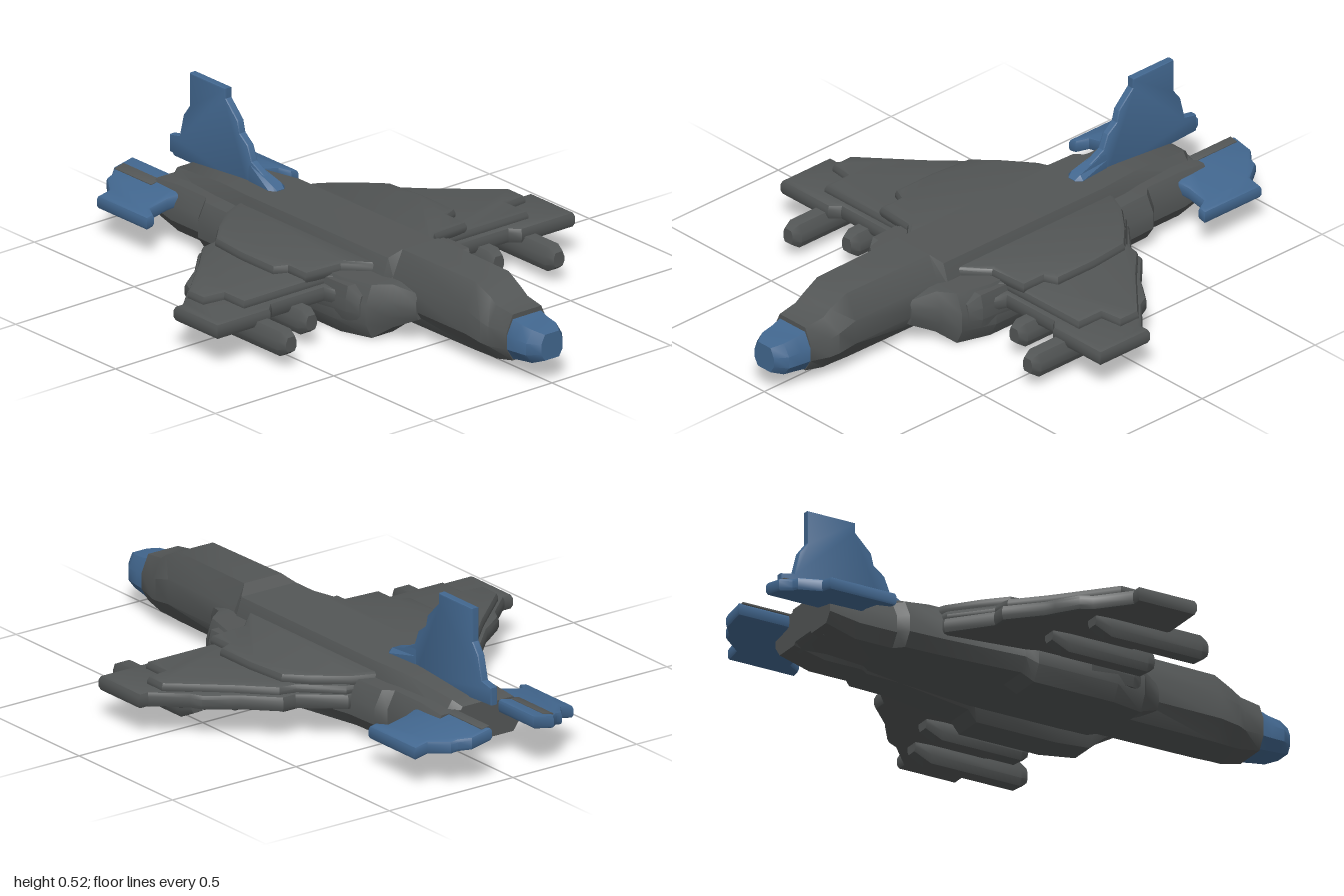
import * as THREE from 'three';
import { toCreasedNormals } from 'three/addons/utils/BufferGeometryUtils.js';

const grey = new THREE.MeshStandardMaterial({ color: 0x535656 });
grey.name = 'hull grey';
const blue = new THREE.MeshStandardMaterial({ color: 0x42678f });
blue.name = 'trim blue';

// Joins chamfered cross-sections running from front to back.
// Each section: [z, half width, half flat width, bottom y, top y, centre x]
function loft(sections) {
  const pos = [], idx = [];
  for (const [z, w, f, yb, yt, cx = 0] of sections) {
    const h = yt - yb, lo = yb + h * 0.28, hi = yb + h * 0.64;
    const ring = [[f, yb], [w, lo], [w, hi], [f, yt], [-f, yt], [-w, hi], [-w, lo], [-f, yb]];
    ring.forEach(([x, y]) => pos.push(cx + x, y, z));
  }
  const last = (sections.length - 1) * 8;
  for (let i = 0; i < last; i += 8) {
    for (let j = 0; j < 8; j++) {
      const a = i + j, b = i + (j + 1) % 8;
      idx.push(a, a + 8, b, b, a + 8, b + 8);
    }
  }
  for (let j = 1; j < 7; j++) idx.push(0, j, j + 1, last, last + j + 1, last + j);
  const g = new THREE.BufferGeometry();
  g.setAttribute('position', new THREE.Float32BufferAttribute(pos, 3));
  g.setIndex(idx);
  return toCreasedNormals(g, 0.55);
}

function prism(points, depth, bevel) {
  const shape = new THREE.Shape(points.map(([x, y]) => new THREE.Vector2(x, y)));
  const g = new THREE.ExtrudeGeometry(shape, {
    depth: depth - 2 * bevel, bevelEnabled: true, bevelSize: bevel,
    bevelThickness: bevel, bevelOffset: -bevel, bevelSegments: 2,
  });
  return g.translate(0, 0, bevel);
}

// Flat plate from an (x, z) outline between two heights, on one side
function slab(side, outline, y0, y1, bevel = 0.012) {
  const g = prism(outline.map(([x, z]) => [x * side, -z]), y1 - y0, bevel);
  return g.rotateX(-Math.PI / 2).translate(0, y0, 0);
}

export function createModel() {
  const model = new THREE.Group();
  const add = (name, geometry, material = grey) => {
    const mesh = new THREE.Mesh(toCreasedNormals(geometry, 0.55), material);
    mesh.name = name;
    model.add(mesh);
  };

  // Body
  add('nose', loft([
    [1.0, 0.045, 0.03, 0.085, 0.175], [0.96, 0.075, 0.05, 0.07, 0.185],
    [0.91, 0.08, 0.055, 0.065, 0.19], [0.87, 0.085, 0.06, 0.06, 0.2],
  ]), blue);
  add('fuselage', loft([
    [0.875, 0.086, 0.06, 0.055, 0.215], [0.8, 0.1, 0.065, 0.04, 0.225],
    [0.77, 0.11, 0.065, 0.04, 0.245], [0.7, 0.112, 0.07, 0.04, 0.278],
    [0.34, 0.115, 0.075, 0.04, 0.28], [0.31, 0.135, 0.11, 0.04, 0.25],
    [-0.4, 0.135, 0.11, 0.04, 0.248], [-0.55, 0.13, 0.09, 0.05, 0.24],
    [-0.78, 0.12, 0.08, 0.06, 0.22], [-0.81, 0.09, 0.06, 0.08, 0.2],
  ]));

  // Tail fin
  const finOutline = [
    [0.37, 0.24], [0.4, 0.265], [0.49, 0.31], [0.51, 0.36], [0.55, 0.39], [0.56, 0.43],
    [0.62, 0.49], [0.62, 0.525], [0.8, 0.525], [0.8, 0.41], [0.83, 0.37],
    [0.85, 0.29], [0.9, 0.28], [0.9, 0.22], [0.5, 0.2],
  ];
  add('tailFin', prism(finOutline, 0.03, 0.006).rotateY(Math.PI / 2).translate(-0.015, 0, 0), blue);
  add('finRoot', loft([
    [-0.36, 0.02, 0.015, 0.22, 0.25], [-0.38, 0.034, 0.02, 0.22, 0.265], [-0.5, 0.018, 0.014, 0.22, 0.3],
  ]), blue);

  for (const s of [1, -1]) {
    const side = s > 0 ? 'left' : 'right';

    // Engine intakes and ducts
    add(side + 'Intake', loft([
      [0.46, 0.03, 0.02, 0.08, 0.17, s * 0.09], [0.38, 0.055, 0.03, 0.04, 0.19, s * 0.12],
      [0.34, 0.07, 0.045, 0.005, 0.19, s * 0.16], [0.22, 0.085, 0.055, 0, 0.19, s * 0.18],
      [-0.08, 0.085, 0.055, 0, 0.19, s * 0.18], [-0.12, 0.085, 0.055, 0.03, 0.19, s * 0.165],
      [-0.4, 0.085, 0.055, 0.04, 0.2, s * 0.125], [-0.53, 0.085, 0.055, 0.04, 0.2, s * 0.12],
      [-0.56, 0.08, 0.05, 0.04, 0.2, s * 0.095], [-0.7, 0.08, 0.05, 0.04, 0.2, s * 0.095],
      [-0.81, 0.07, 0.045, 0.07, 0.19, s * 0.1],
    ]));
    add(side + 'IntakeShoulder', loft([
      [0.32, 0.02, 0.012, 0.07, 0.15, s * 0.22], [0.28, 0.035, 0.025, 0.06, 0.18, s * 0.23],
      [0.12, 0.04, 0.03, 0.06, 0.18, s * 0.23],
    ]));

    // Stepped wing
    add(side + 'Wing', slab(s, [
      [0.1, 0.4], [0.14, 0.37], [0.2, 0.3], [0.26, 0.25], [0.28, 0.19], [0.5, 0.19], [0.53, 0.22],
      [0.755, 0.22], [0.755, 0], [0.72, 0], [0.62, -0.09], [0.6, -0.13], [0.53, -0.18],
      [0.5, -0.2], [0.4, -0.3], [0.35, -0.3], [0.22, -0.41], [0.1, -0.42],
    ], 0.1, 0.158, 0.018));
    add(side + 'WingMiddleLayer', slab(s, [
      [0.1, 0.34], [0.19, 0.25], [0.26, 0.17], [0.6, 0.17], [0.6, 0.07], [0.68, 0.06], [0.68, -0.02],
      [0.5, -0.18], [0.4, -0.28], [0.34, -0.29], [0.22, -0.4], [0.1, -0.42],
    ], 0.14, 0.187, 0.018));
    add(side + 'WingInnerLayer', slab(s, [
      [0.1, 0.28], [0.2, 0.18], [0.34, 0.17], [0.34, 0.08], [0.385, 0.06], [0.385, -0.1],
      [0.37, -0.25], [0.3, -0.32], [0.2, -0.4], [0.1, -0.44],
    ], 0.17, 0.217, 0.018));

    // Stores under the wing
    const stores = [['Outer', 0.565, 0.365, -0.06], ['Inner', 0.395, 0.265, -0.12]];
    for (const [name, x, front, back] of stores) {
      add(side + name + 'Store', loft([
        [front, 0.022, 0.015, 0.06, 0.11, s * x], [front - 0.03, 0.034, 0.022, 0.04, 0.125, s * x],
        [back + 0.06, 0.034, 0.022, 0.04, 0.125, s * x], [back, 0.025, 0.018, 0.07, 0.12, s * x],
      ]));
    }

    // Drooping tailplane with a grey strip along its root
    const droop = (g) => {
      const p = g.attributes.position;
      for (let i = 0; i < p.count; i++) p.setY(i, p.getY(i) - (Math.abs(p.getX(i)) - 0.09) * 0.2);
      g.computeVertexNormals();
      return g;
    };
    add(side + 'Tailplane', droop(slab(s, [
      [0.085, -1], [0.165, -1], [0.2, -0.97], [0.225, -0.965], [0.27, -0.9], [0.32, -0.9],
      [0.32, -0.65], [0.29, -0.65], [0.27, -0.69], [0.2, -0.69], [0.16, -0.68], [0.11, -0.72], [0.085, -0.78],
    ], 0.145, 0.192)), blue);
    const [x0, x1] = s > 0 ? [0.085, 0.115] : [0.135, 0.175];
    add(side + 'TailplaneStrip', droop(slab(s, [
      [x0, -0.985], [x1, -0.985], [x1, -0.8], [x0, -0.8],
    ], 0.187, 0.195, 0.002)));
  }
  return model;
}
